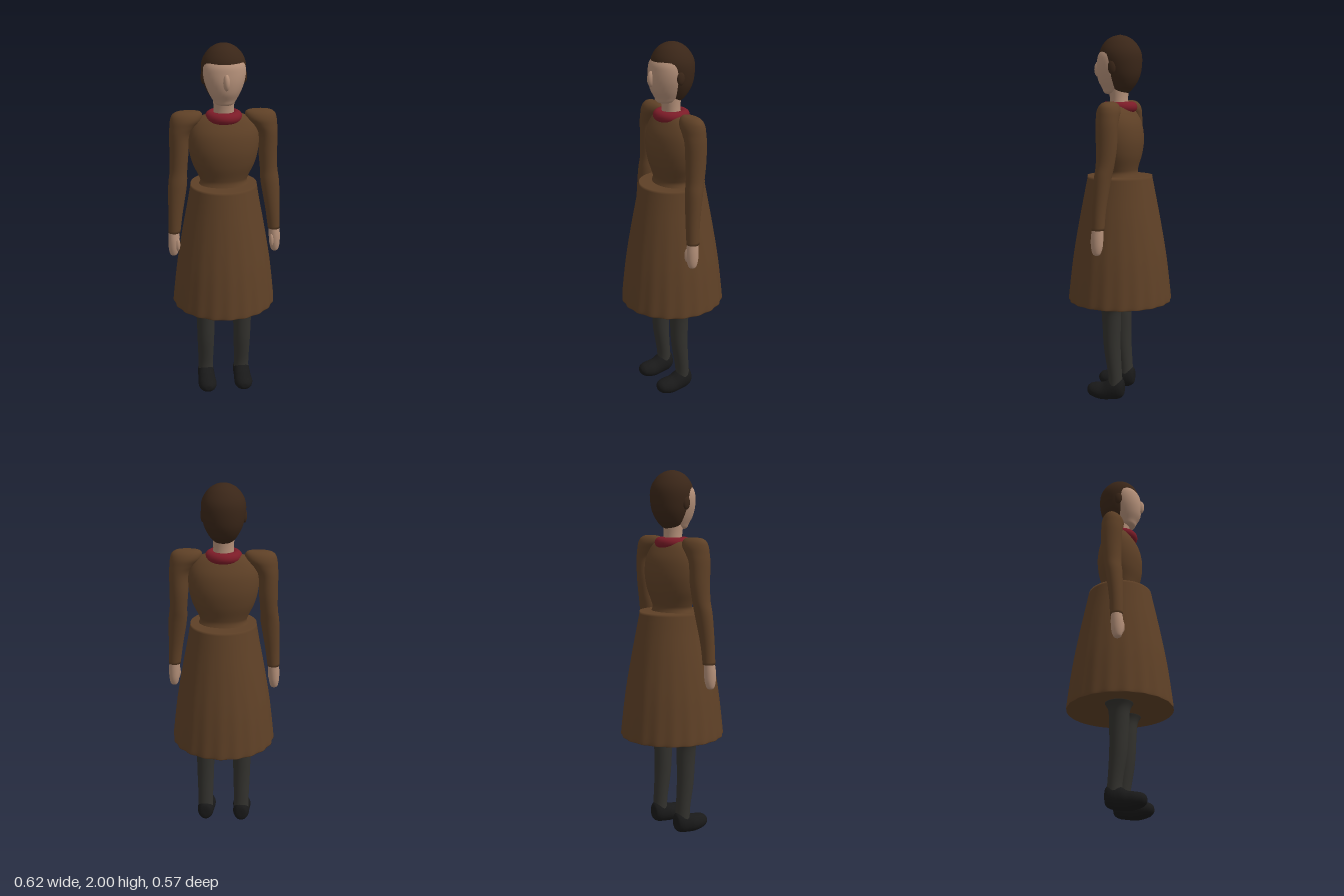
import * as THREE from 'three';

const mat = (color) => new THREE.MeshStandardMaterial({ color, roughness: 0.9 });

// Smooth closed body through elliptical sections [x, y, z, rx, rz], listed upwards.
function loft(sections, { seg = 36, sub = 5, ripple = () => 1 } = {}) {
  const n = sections.length;
  const at = (t) => {
    const i = Math.min(Math.floor(t), n - 2), f = t - i;
    const [a, b, c, d] = [-1, 0, 1, 2].map((k) => sections[Math.min(Math.max(i + k, 0), n - 1)]);
    return b.map((_, j) => {
      const m0 = (c[j] - a[j]) / 2, m1 = (d[j] - b[j]) / 2;
      const f2 = f * f, f3 = f2 * f;
      return (2 * f3 - 3 * f2 + 1) * b[j] + (f3 - 2 * f2 + f) * m0 + (3 * f2 - 2 * f3) * c[j] + (f3 - f2) * m1;
    });
  };
  const pos = [], idx = [], rings = (n - 1) * sub + 1;
  for (let r = 0; r < rings; r++) {
    const [x, y, z, rx, rz] = at(r / sub);
    for (let s = 0; s < seg; s++) {
      const a = (s / seg) * Math.PI * 2, k = ripple(a, r / (rings - 1));
      pos.push(x + Math.cos(a) * rx * k, y, z + Math.sin(a) * rz * k);
    }
  }
  for (let r = 0; r < rings - 1; r++) {
    for (let s = 0; s < seg; s++) {
      const p = r * seg + s, q = r * seg + ((s + 1) % seg);
      idx.push(p, p + seg, q, q, p + seg, q + seg);
    }
  }
  // End caps
  const lo = rings * seg, hi = lo + 1, top = (rings - 1) * seg;
  pos.push(...sections[0].slice(0, 3), ...sections[n - 1].slice(0, 3));
  for (let s = 0; s < seg; s++) {
    const t = (s + 1) % seg;
    idx.push(lo, s, t, hi, top + t, top + s);
  }
  const geo = new THREE.BufferGeometry();
  geo.setAttribute('position', new THREE.Float32BufferAttribute(pos, 3));
  geo.setIndex(idx);
  geo.computeVertexNormals();
  return geo;
}

export function createModel() {
  const model = new THREE.Group();
  const dress = mat(0x5e4026), hair = mat(0x3a2618), skin = mat(0xb38f78);
  const red = mat(0x7c1c28), stocking = mat(0x32312d), shoe = mat(0x191919);
  const add = (name, geo, material, parent = model) => {
    const mesh = new THREE.Mesh(geo, material);
    mesh.name = name;
    parent.add(mesh);
    return mesh;
  };

  // Skirt: shallow pleats that deepen towards the hem
  const pleat = (a, t) => 1 - 0.012 * (1 - t) ** 2 * (1 - Math.cos(a * 20));
  add('skirt', loft([
    [0, 0.56, 0, 0.285, 0.285], [0, 0.6, 0, 0.282, 0.282], [0, 0.8, 0, 0.258, 0.258],
    [0, 1.0, 0, 0.224, 0.224], [0, 1.15, 0, 0.195, 0.195], [0, 1.25, 0, 0.178, 0.175],
  ], { seg: 160, ripple: pleat }), dress);
  const under = add('skirtUnderside', new THREE.CircleGeometry(0.284, 64), dress);
  under.rotation.x = Math.PI / 2;
  under.position.y = 0.559;
  const waist = add('skirtTop', new THREE.CircleGeometry(0.178, 64), dress);
  waist.rotation.x = -Math.PI / 2;
  waist.position.y = 1.252;

  // Bodice
  add('bodice', loft([
    [0, 1.24, 0, 0.14, 0.105], [0, 1.27, 0, 0.126, 0.094], [0, 1.3, 0, 0.136, 0.098],
    [0, 1.37, 0, 0.168, 0.117], [0, 1.45, 0, 0.186, 0.125], [0, 1.53, 0, 0.185, 0.112],
    [0, 1.59, 0, 0.16, 0.08], [0, 1.625, 0, 0.11, 0.05], [0, 1.635, 0, 0.04, 0.03],
  ]), dress);

  // Collar
  const collar = add('collar', new THREE.TorusGeometry(0.068, 0.029, 16, 48), red);
  collar.rotation.x = Math.PI / 2;
  collar.position.set(0, 1.62, 0.004);

  // Neck, face and hair
  add('neck', loft([
    [0, 1.58, 0, 0.062, 0.052], [0, 1.66, 0.005, 0.054, 0.048], [0, 1.76, 0.01, 0.06, 0.06],
  ]), skin);
  add('face', loft([
    [0, 1.685, 0.045, 0.01, 0.01], [0, 1.695, 0.04, 0.046, 0.046], [0, 1.72, 0.035, 0.064, 0.063],
    [0, 1.76, 0.035, 0.085, 0.083], [0, 1.81, 0.035, 0.103, 0.091], [0, 1.86, 0.035, 0.11, 0.088],
    [0, 1.9, 0.03, 0.104, 0.083], [0, 1.935, 0.015, 0.08, 0.065], [0, 1.95, 0.01, 0.02, 0.02],
  ]), skin);
  add('hair', loft([
    [0, 1.69, -0.012, 0.03, 0.025], [0, 1.71, -0.012, 0.058, 0.05], [0, 1.75, -0.014, 0.085, 0.078],
    [0, 1.8, -0.012, 0.105, 0.1], [0, 1.87, -0.006, 0.116, 0.113], [0, 1.92, -0.002, 0.108, 0.108],
    [0, 1.965, 0, 0.079, 0.079], [0, 1.99, 0, 0.042, 0.042], [0, 2.0, 0, 0.004, 0.004],
  ]), hair);
  const nose = add('nose', new THREE.SphereGeometry(1, 20, 14), skin);
  nose.scale.set(0.018, 0.042, 0.024);
  nose.position.set(0, 1.82, 0.121);

  // Arms and legs, mirrored by side
  for (const [side, s] of [['left', 1], ['right', -1]]) {
    const mirror = (rows) => rows.map(([x, ...rest]) => [x * s, ...rest]);
    const ear = add(side + 'Ear', new THREE.SphereGeometry(1, 16, 12), hair);
    ear.scale.set(0.012, 0.036, 0.022);
    ear.position.set(0.108 * s, 1.83, 0.012);

    const arm = new THREE.Group();
    arm.name = side + 'Arm';
    model.add(arm);
    add('sleeve', loft(mirror([
      [0.274, 0.99, 0.036, 0.033, 0.034], [0.265, 1.1, 0.032, 0.039, 0.037],
      [0.25, 1.25, 0.018, 0.05, 0.045], [0.243, 1.33, 0.006, 0.047, 0.049],
      [0.238, 1.42, 0, 0.05, 0.055], [0.235, 1.52, 0, 0.053, 0.058],
      [0.218, 1.57, 0, 0.067, 0.06], [0.2, 1.605, 0, 0.081, 0.06],
      [0.192, 1.632, 0, 0.079, 0.049], [0.187, 1.648, 0, 0.06, 0.03], [0.185, 1.652, 0, 0.02, 0.01],
    ])), dress, arm);
    add('hand', loft(mirror([
      [0.28, 0.855, 0.042, 0.008, 0.008], [0.28, 0.865, 0.042, 0.02, 0.021],
      [0.279, 0.9, 0.041, 0.028, 0.031], [0.277, 0.95, 0.04, 0.031, 0.033],
      [0.275, 1.0, 0.037, 0.029, 0.029],
    ]), { seg: 24 }), skin, arm);
    const thumb = add('thumb', new THREE.SphereGeometry(1, 14, 10), skin, arm);
    thumb.scale.set(0.013, 0.038, 0.014);
    thumb.position.set(0.258 * s, 0.925, 0.062);

    const leg = new THREE.Group();
    leg.name = side + 'Leg';
    model.add(leg);
    add('stocking', loft(mirror([
      [0.105, 0.08, -0.007, 0.044, 0.041], [0.105, 0.15, -0.004, 0.043, 0.038],
      [0.105, 0.3, 0.012, 0.048, 0.046], [0.105, 0.44, 0.016, 0.052, 0.051],
      [0.108, 0.52, 0.017, 0.058, 0.056], [0.11, 0.562, 0.017, 0.078, 0.076],
    ]), { seg: 28 }), stocking, leg);

    // Shoe: sections run heel to toe, then turn to lie along z
    const foot = loft(mirror([
      [0.105, -0.056, -0.075, 0.012, 0.02], [0.105, -0.05, -0.075, 0.033, 0.045],
      [0.105, -0.025, -0.074, 0.046, 0.061], [0.105, 0.02, -0.065, 0.048, 0.06],
      [0.105, 0.06, -0.051, 0.05, 0.05], [0.105, 0.1, -0.05, 0.052, 0.044],
      [0.105, 0.135, -0.052, 0.042, 0.034], [0.105, 0.153, -0.053, 0.022, 0.018],
      [0.105, 0.156, -0.053, 0.004, 0.004],
    ]), { seg: 28 });
    add('shoe', foot.rotateX(Math.PI / 2), shoe, leg);
  }
  return model;
}
